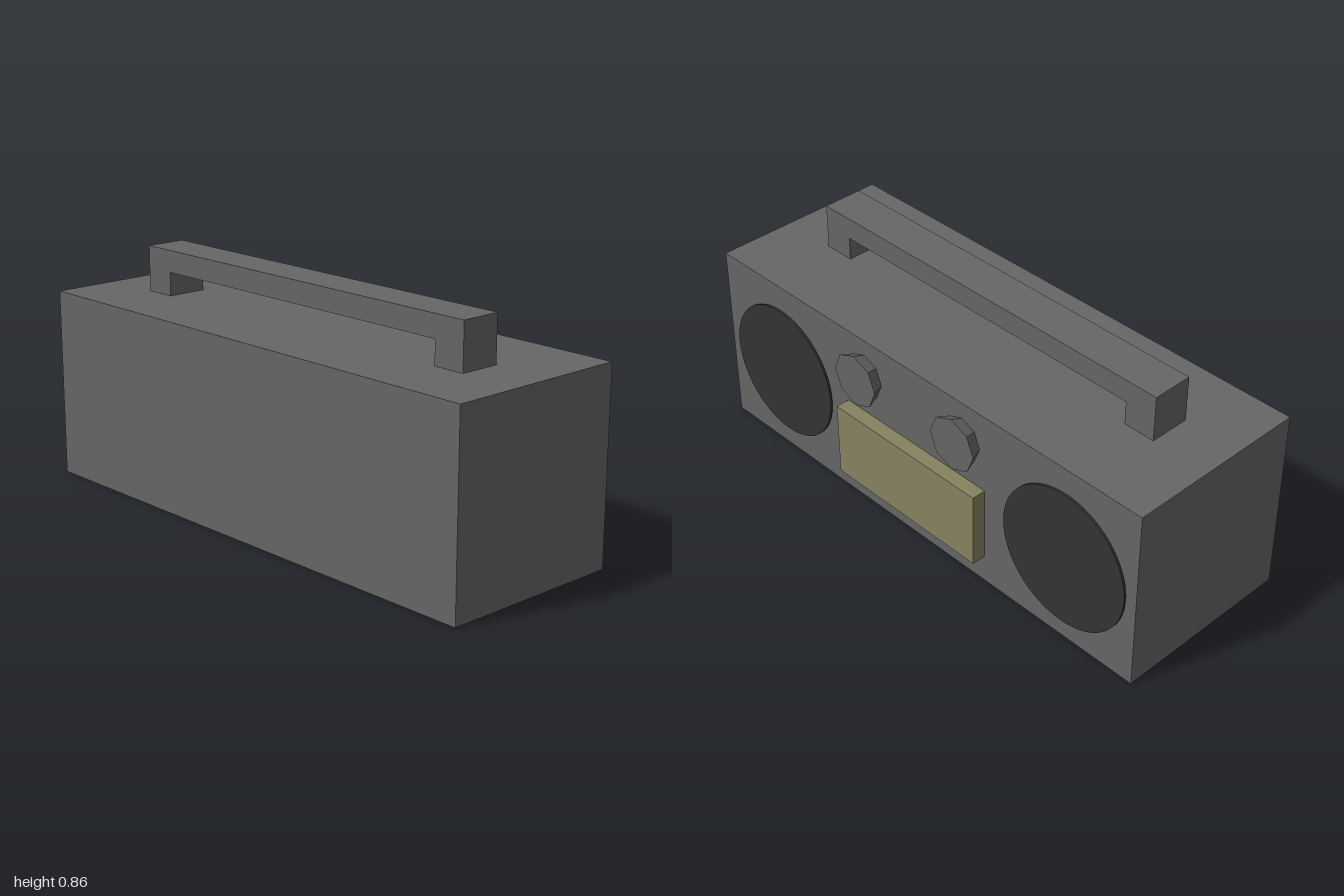
import * as THREE from 'three';

export function createModel() {
  const group = new THREE.Group();
  const casing = new THREE.MeshStandardMaterial({ color: 0x666666, flatShading: true });
  casing.name = 'casing grey';
  const mesh = new THREE.MeshStandardMaterial({ color: 0x343434 });
  mesh.name = 'speaker black';
  const olive = new THREE.MeshStandardMaterial({ color: 0x868260 });
  olive.name = 'panel olive';

  const add = (name, geometry, material, x, y, z) => {
    const part = new THREE.Mesh(geometry, material);
    part.name = name;
    part.position.set(x, y, z);
    group.add(part);
    return part;
  };

  // Box given by its limits on each axis
  const box = (name, material, [x0, x1], [y0, y1], [z0, z1]) =>
    add(name, new THREE.BoxGeometry(x1 - x0, y1 - y0, z1 - z0), material,
      (x0 + x1) / 2, (y0 + y1) / 2, (z0 + z1) / 2);

  // Disc whose axis points along +x, away from the casing
  const disc = (name, material, outer, inner, sides, [x0, x1], y, z) => {
    const geometry = new THREE.CylinderGeometry(outer, inner, x1 - x0, sides);
    geometry.rotateZ(-Math.PI / 2);
    return add(name, geometry, material, (x0 + x1) / 2, y, z);
  };

  // Main casing and cassette panel
  box('casing', casing, [-0.375, 0.32], [0, 0.696], [-1, 1]);
  box('cassettePanel', olive, [0.32, 0.373], [0.108, 0.394], [-0.333, 0.347]);

  // Carrying handle: one outline with an open underside, extruded across x
  const outline = new THREE.Shape([
    [-0.78, 0.696], [-0.66, 0.696], [-0.66, 0.783], [0.66, 0.783],
    [0.66, 0.696], [0.78, 0.696], [0.78, 0.864], [-0.78, 0.864],
  ].map(([u, v]) => new THREE.Vector2(u, v)));
  const handle = new THREE.ExtrudeGeometry(outline, { depth: 0.152, bevelEnabled: false });
  handle.rotateY(Math.PI / 2);
  add('handle', handle, casing, -0.127, 0, 0);

  // Speaker discs
  disc('leftSpeaker', mesh, 0.259, 0.259, 64, [0.326, 0.334], 0.344, 0.689);
  disc('rightSpeaker', mesh, 0.264, 0.264, 64, [0.326, 0.334], 0.344, -0.698);

  // Eight-sided knobs, flaring outwards
  for (const [name, z] of [['leftKnob', 0.25], ['rightKnob', -0.226]]) {
    disc(name, casing, 0.102, 0.084, 8, [0.32, 0.366], 0.552, z);
  }
  return group;
}
